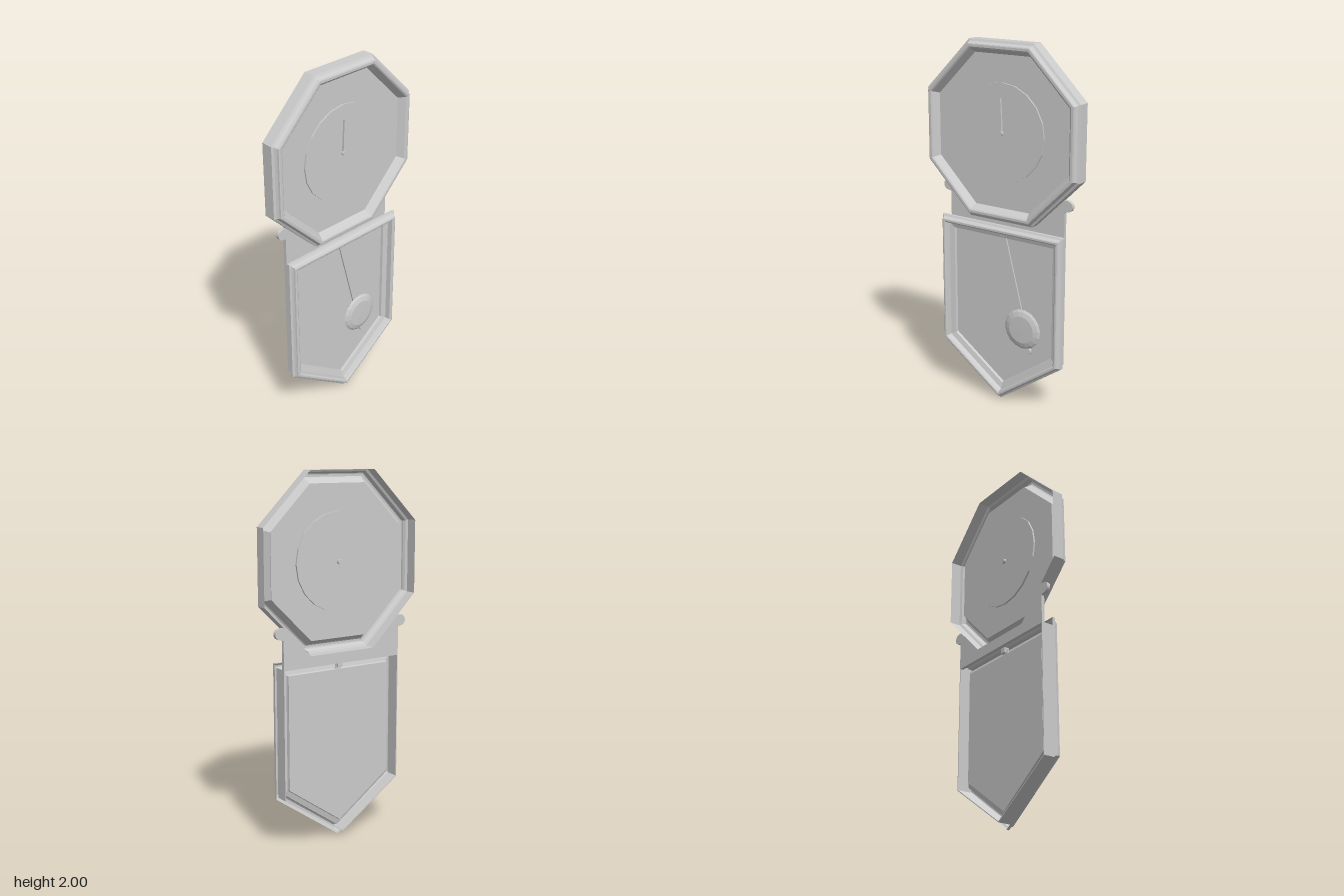
import * as THREE from 'three';

const material = new THREE.MeshStandardMaterial({ color: 0xcccccc, flatShading: true, side: THREE.DoubleSide });

// Outlines, counter-clockwise seen from the front
const DIAL_Y = 1.523;
const octagon = [
  [-0.2, -0.478], [0.2, -0.478], [0.48, -0.2], [0.48, 0.2],
  [0.2, 0.477], [-0.2, 0.477], [-0.48, 0.2], [-0.48, -0.2],
].map(([x, y]) => [x, y + DIAL_Y]);
const pentagon = [[0, 0], [0.395, 0.28], [0.395, 1.02], [-0.395, 1.02], [-0.395, 0.28]];

// Moves every side of a convex outline inward by d
function inset(points, d) {
  const n = points.length;
  const dir = (a, b) => {
    const l = Math.hypot(b[0] - a[0], b[1] - a[1]);
    return [(b[0] - a[0]) / l, (b[1] - a[1]) / l];
  };
  return points.map((p, i) => {
    const u = dir(points[(i + n - 1) % n], p), v = dir(p, points[(i + 1) % n]);
    const k = d / (1 + u[0] * v[0] + u[1] * v[1]);
    return [p[0] - (u[1] + v[1]) * k, p[1] + (u[0] + v[0]) * k];
  });
}

// Hollow mitred moulding, open at the back: a profile of [inset, z] carried around an outline
function moulding(outline, profile) {
  const rings = profile.map(([d, z]) => inset(outline, d).map(([x, y]) => [x, y, z]));
  const pos = [], n = outline.length;
  for (let k = 0; k < rings.length - 1; k++) {
    const ring = rings[k], next = rings[k + 1];
    for (let i = 0; i < n; i++) {
      const j = (i + 1) % n;
      pos.push(...ring[i], ...ring[j], ...next[j], ...ring[i], ...next[j], ...next[i]);
    }
  }
  const g = new THREE.BufferGeometry();
  g.setAttribute('position', new THREE.Float32BufferAttribute(pos, 3));
  g.computeVertexNormals();
  return g;
}

// Flat plate with a given outline between two depths
function plate(points, z0, z1) {
  const shape = new THREE.Shape(points.map(([x, y]) => new THREE.Vector2(x, y)));
  return new THREE.ExtrudeGeometry(shape, { depth: z1 - z0, bevelEnabled: false }).translate(0, 0, z0);
}

// Disc facing the front
function disc(r, z0, z1, sides) {
  return new THREE.CylinderGeometry(r, r, z1 - z0, sides).rotateX(Math.PI / 2).translate(0, 0, (z0 + z1) / 2);
}

export function createModel() {
  const model = new THREE.Group();
  const add = (name, geometry, parent = model) => {
    const mesh = new THREE.Mesh(geometry, material);
    mesh.name = name;
    parent.add(mesh);
    return mesh;
  };

  // Octagonal head
  add('dialFrame', moulding(octagon, [
    [0, -0.048], [0, 0.015], [0.012, 0.022], [0.019, 0.034], [0.021, 0.044], [0.026, 0.046],
    [0.038, 0.046], [0.045, 0.041], [0.07, 0.002],
  ]));
  add('dialPanel', plate(inset(octagon, 0.069), -0.001, 0.004));
  add('dialFace', disc(0.265, -0.011, 0.012, 20)).position.y = DIAL_Y;

  // Hand and its spindle
  const hands = new THREE.Group();
  hands.name = 'hand';
  hands.position.y = DIAL_Y;
  model.add(hands);
  add('spindle', disc(0.014, -0.025, 0.026, 12), hands);
  add('pointer', plate([[-0.008, 0], [0.008, 0], [0.006, 0.08], [0, 0.185], [-0.006, 0.08]], 0.01, 0.023), hands);

  // Neck board, cut to the underside of the head
  add('neckBoard', plate([
    [-0.37, 0.985], [0.37, 0.985], [0.37, 1.213], [0.2, 1.045], [-0.2, 1.045], [-0.37, 1.213],
  ], -0.048, -0.03));
  for (const s of [-1, 1]) {
    const side = s > 0 ? 'left' : 'right';
    add(side + 'Scroll', disc(0.03, -0.048, -0.028, 16)).position.set(s * 0.388, 1.179, 0);
    const ear = [[0.365, 1.135], [0.373, 1.145], [0.39, 1.15], [0.39, 1.209], [0.365, 1.208]];
    add(side + 'Ear', plate(ear.map(([x, y]) => [s * x, y]), -0.048, -0.03));
  }

  // Door frame of the lower case, with a stepped inner ledge
  add('doorFrame', moulding(pentagon, [
    [0, 0.002], [0, 0.018], [0.01, 0.024], [0.016, 0.035], [0.018, 0.044], [0.022, 0.046],
    [0.031, 0.046], [0.038, 0.04], [0.042, 0.012], [0.071, 0.004], [0.075, -0.012],
  ]));
  add('doorPanel', plate(inset(pentagon, 0.074), -0.014, -0.01));

  // Thin case walls behind the door, open at the top and back
  add('caseWalls', plate([
    [-0.37, 0.99], [-0.37, 0.28], [0, 0.03], [0.37, 0.28], [0.37, 0.99],
    [0.365, 0.99], [0.365, 0.283], [0, 0.036], [-0.365, 0.283], [-0.365, 0.99],
  ], -0.048, 0.025));

  // Pendulum, swung to one side
  const pendulum = new THREE.Group();
  pendulum.name = 'pendulum';
  pendulum.position.set(0, 0.965, -0.014);
  pendulum.rotation.z = 0.257;
  model.add(pendulum);
  add('rod', new THREE.BoxGeometry(0.034, 0.5, 0.008).translate(0, -0.235, 0.01), pendulum);
  const bob = [[0, 0], [0.1, 0.002], [0.115, 0.013], [0.103, 0.022], [0.078, 0.03], [0, 0.031]];
  add('bob', new THREE.LatheGeometry(bob.map(([r, z]) => new THREE.Vector2(r, z)), 18)
    .rotateX(Math.PI / 2).translate(0, -0.535, 0.005), pendulum);
  add('bobTip', disc(0.02, 0.006, 0.02, 12).translate(0, -0.664, 0), pendulum);
  add('bobStem', new THREE.BoxGeometry(0.03, 0.03, 0.012).translate(0, -0.648, 0.012), pendulum);
  add('pendulumHook', new THREE.BoxGeometry(0.03, 0.03, 0.03).translate(0, 0.972, -0.008));

  return model;
}
